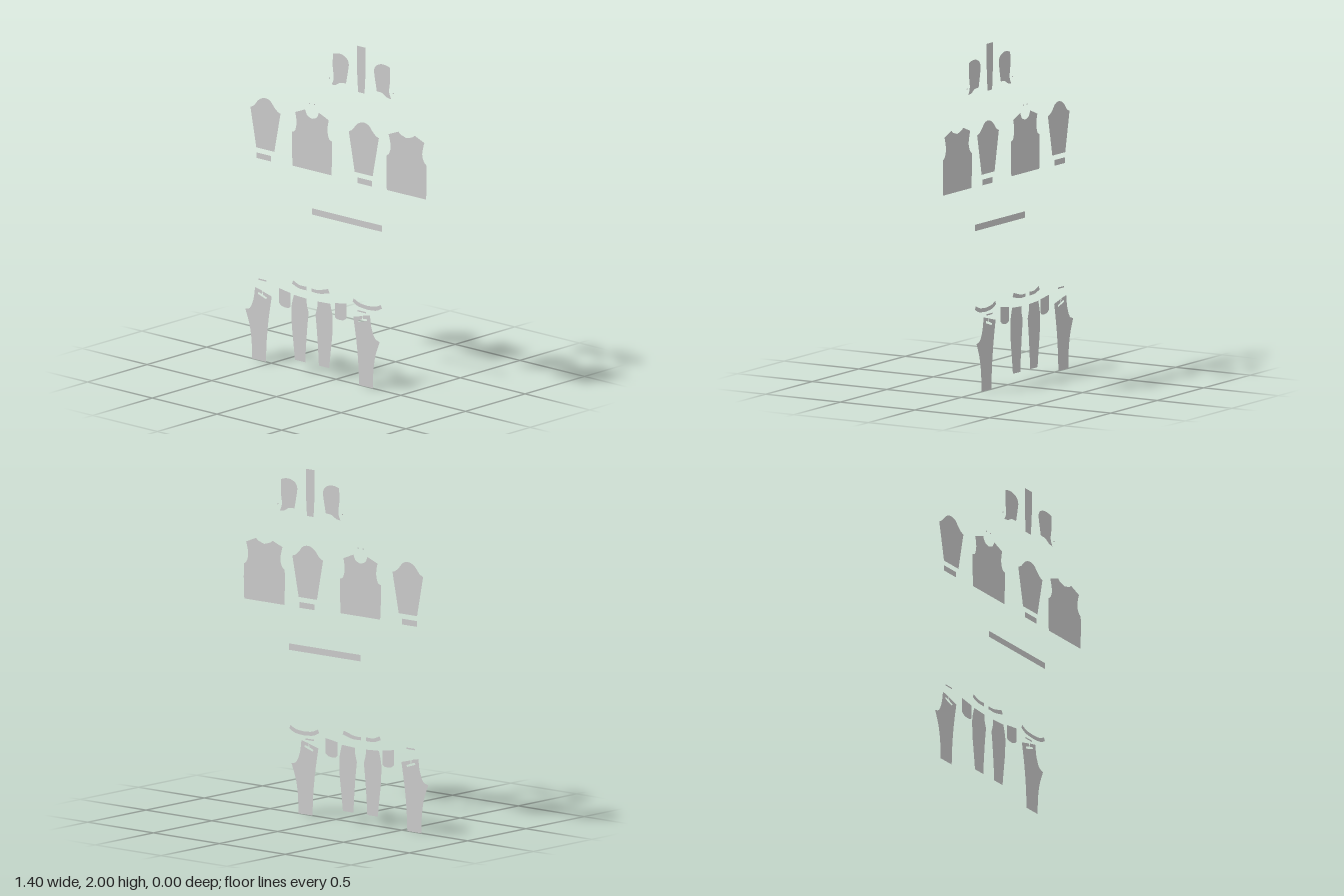
import * as THREE from 'three';

const material = new THREE.MeshStandardMaterial({ color: 0xcccccc, side: THREE.DoubleSide });

// Outline from runs: each run is a smooth curve through its points, runs are joined by straight lines.
function outline(runs) {
  return runs.flatMap((run) => {
    const pts = run.map(([x, y]) => new THREE.Vector2(x, y));
    return pts.length < 3 ? pts : new THREE.SplineCurve(pts).getPoints(pts.length * 4);
  });
}

// Completes a half outline (given on the +x side) with its mirror image.
function symmetric(runs) {
  const half = outline(runs);
  const other = half.map((p) => new THREE.Vector2(-p.x, p.y)).reverse();
  return [...half, ...other.filter((p) => Math.abs(p.x) > 1e-5)];
}

export function createModel() {
  const model = new THREE.Group();

  // Adds one flat fabric piece; sx = -1 flips it about its own axis.
  function piece(name, points, x = 0, sx = 1, y = 0) {
    const pts = points.map((p) => new THREE.Vector2(x + sx * p.x, y + p.y));
    const clean = pts.filter((p, i) => p.distanceTo(pts[(i + 1) % pts.length]) > 1e-5);
    const mesh = new THREE.Mesh(new THREE.ShapeGeometry(new THREE.Shape(clean)), material);
    mesh.name = name;
    model.add(mesh);
  }
  function strip(name, x0, x1, y0, y1) {
    piece(name, outline([[[x0, y0], [x1, y0]], [[x1, y1], [x0, y1]]]));
  }

  // Hood: centre strip and two side panels
  piece('hoodCentre', symmetric([[[0.025, 1.728], [0.034, 1.87]], [[0.034, 2]]]), 0.195);
  const hoodSide = outline([
    [[0.22, 1.918], [0.188, 1.926], [0.151, 1.926], [0.114, 1.91], [0.098, 1.881], [0.103, 1.839], [0.119, 1.76]],
    [[0.119, 1.76], [0.161, 1.757], [0.198, 1.738], [0.23, 1.733]],
    [[0.23, 1.733], [0.214, 1.775], [0.222, 1.844], [0.22, 1.918]],
  ]);

  // Sleeves and cuffs
  const sleeve = outline([
    [[-0.117, 1.484], [-0.09, 1.497], [-0.06, 1.53], [-0.034, 1.548], [0, 1.556],
      [0.037, 1.546], [0.066, 1.516], [0.093, 1.494], [0.116, 1.486]],
    [[0.068, 1.252], [-0.071, 1.252]],
  ]);
  for (const [side, x] of [['right', -0.545], ['left', 0.215]]) {
    piece(side + 'Sleeve', sleeve, x);
    strip(side + 'Cuff', x - 0.056 + (side === 'right' ? -0.013 : 0.005),
      x + 0.056 + (side === 'right' ? -0.013 : 0.005), 1.19, 1.223);
  }

  // Body panels
  piece('frontBody', symmetric([
    [[0.15, 1.197], [0.155, 1.3], [0.155, 1.397]],
    [[0.155, 1.397], [0.132, 1.408], [0.12, 1.45], [0.123, 1.49], [0.13, 1.518]],
    [[0.053, 1.548], [0.036, 1.516], [0, 1.502]],
  ]), -0.186);
  piece('backBody', symmetric([
    [[0.152, 1.192], [0.156, 1.3], [0.155, 1.394]],
    [[0.155, 1.394], [0.134, 1.412], [0.122, 1.45], [0.128, 1.49], [0.138, 1.524]],
    [[0.062, 1.553], [0.046, 1.54], [0, 1.526]],
  ]), 0.544);

  // Hem band
  strip('hemBand', -0.185, 0.355, 0.937, 0.974);

  // Trouser panels, given as distances from the mirror axis
  const backLeg = outline([
    [[0.444, 0.426], [0.455, 0.357], [0.481, 0.299], [0.519, 0.283]],
    [[0.519, 0.283], [0.487, 0.198], [0.471, 0.108], [0.466, 0]],
    [[0.36, 0], [0.354, 0.124], [0.339, 0.257], [0.315, 0.394]],
    // dart and pocket slot
    [[0.386, 0.412], [0.383, 0.392]],
    [[0.353, 0.38], [0.358, 0.37]],
    [[0.421, 0.39], [0.418, 0.402]],
    [[0.389, 0.394], [0.392, 0.415]],
  ]);
  const frontLeg = outline([
    [[0.144, 0.437], [0.046, 0.432]],
    [[0.046, 0.432], [0.043, 0.395], [0.03, 0.352]],
    [[0.03, 0.352], [0.041, 0.257], [0.052, 0.125], [0.056, 0.055]],
    [[0.136, 0.055], [0.147, 0.15], [0.16, 0.257], [0.163, 0.352]],
    [[0.163, 0.352], [0.158, 0.385], [0.144, 0.437]],
  ]);
  const pocket = outline([
    [[0.26, 0.455], [0.171, 0.442]],
    [[0.171, 0.362], [0.19, 0.35], [0.235, 0.352], [0.26, 0.368]],
  ]);
  for (const [side, sx] of [['right', -1], ['left', 1]]) {
    piece(side + 'HoodPanel', hoodSide, 0.196, sx);
    piece(side + 'BackLeg', backLeg, -0.182, sx);
    piece(side + 'FrontLeg', frontLeg, sx > 0 ? -0.189 : -0.182, sx);
    piece(side + 'Pocket', pocket, -0.181, sx, sx > 0 ? 0.006 : 0);
  }
  strip('rightPocketWelt', -0.6, -0.537, 0.474, 0.482);
  strip('leftPocketWelt', 0.167, 0.23, 0.432, 0.44);

  // Curved waist facings
  piece('rightWaistFacing', outline([
    [[-0.331, 0.521], [-0.283, 0.503], [-0.23, 0.503]],
    [[-0.23, 0.481], [-0.288, 0.483], [-0.34, 0.5]],
  ]));
  piece('leftWaistFacing', outline([
    [[-0.19, 0.5], [-0.14, 0.5], [-0.061, 0.521]],
    [[-0.05, 0.498], [-0.124, 0.481], [-0.19, 0.481]],
  ]));
  piece('backWaistFacing', symmetric([
    [[0, 0.456], [0.069, 0.463], [0.114, 0.484]],
    [[0.104, 0.503], [0.06, 0.485], [0, 0.479]],
  ]), 0.241);

  // Tiny eyelets beside the hood and neckline
  for (const [x, y] of [[-0.05, 1.77], [0.442, 1.77], [-0.206, 1.59], [-0.167, 1.59]]) {
    const eyelet = new THREE.Mesh(new THREE.CylinderGeometry(0.003, 0.003, 0.003, 10), material);
    eyelet.rotation.x = Math.PI / 2;
    eyelet.position.set(x, y, 0);
    eyelet.name = 'eyelet';
    model.add(eyelet);
  }
  return model;
}
